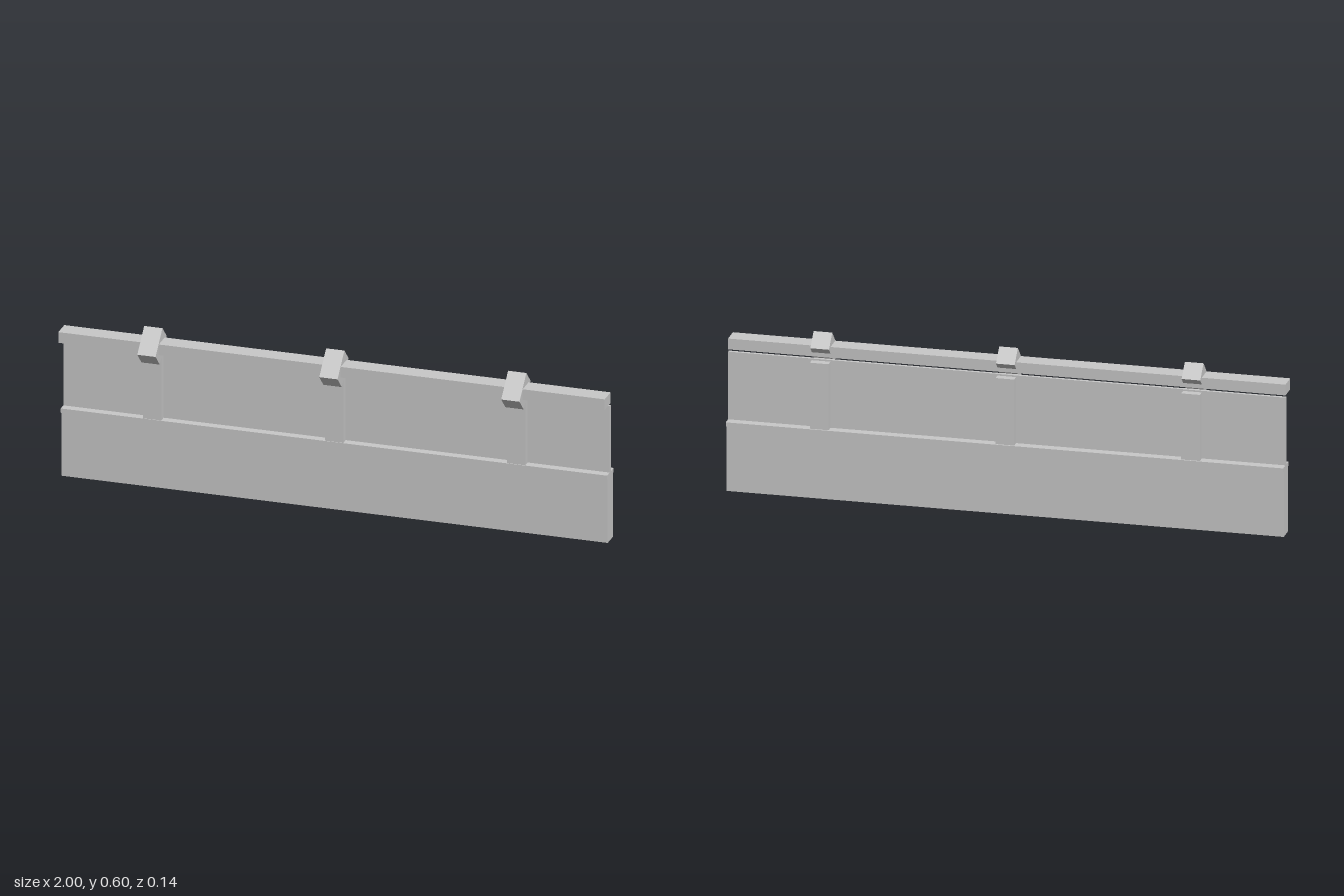
import * as THREE from 'three';

export function createModel() {
  const group = new THREE.Group();
  const grey = new THREE.MeshStandardMaterial({ color: 0xc8c8c8 });
  grey.name = 'light grey';

  // Box given by its centre x, width, and y and z ranges
  function block(name, x, width, y0, y1, z0, z1) {
    const mesh = new THREE.Mesh(new THREE.BoxGeometry(width, y1 - y0, z1 - z0), grey);
    mesh.position.set(x, (y0 + y1) / 2, (z0 + z1) / 2);
    mesh.name = name;
    group.add(mesh);
    return mesh;
  }

  // Full-length wall, ledge, thin panel and handrail
  block('baseWall', 0, 2, 0, 0.242, -0.06, 0);
  block('ledge', 0, 2, 0.24, 0.256, -0.068, 0.007);
  block('panel', 0, 2, 0.25, 0.506, -0.035, -0.023);
  block('handrail', 0, 2, 0.514, 0.554, -0.034, 0.034);

  // Posts, each with a tilted bracket gripping the handrail
  for (const x of [-0.666, 0, 0.666]) {
    block('post', x, 0.067, 0.25, 0.5, -0.062, 0.004);
    const bracket = block('railBracket', x, 0.067, 0.5025, 0.5695, -0.0487, 0.0617);
    bracket.rotation.x = Math.PI / 4;
  }

  return group;
}
